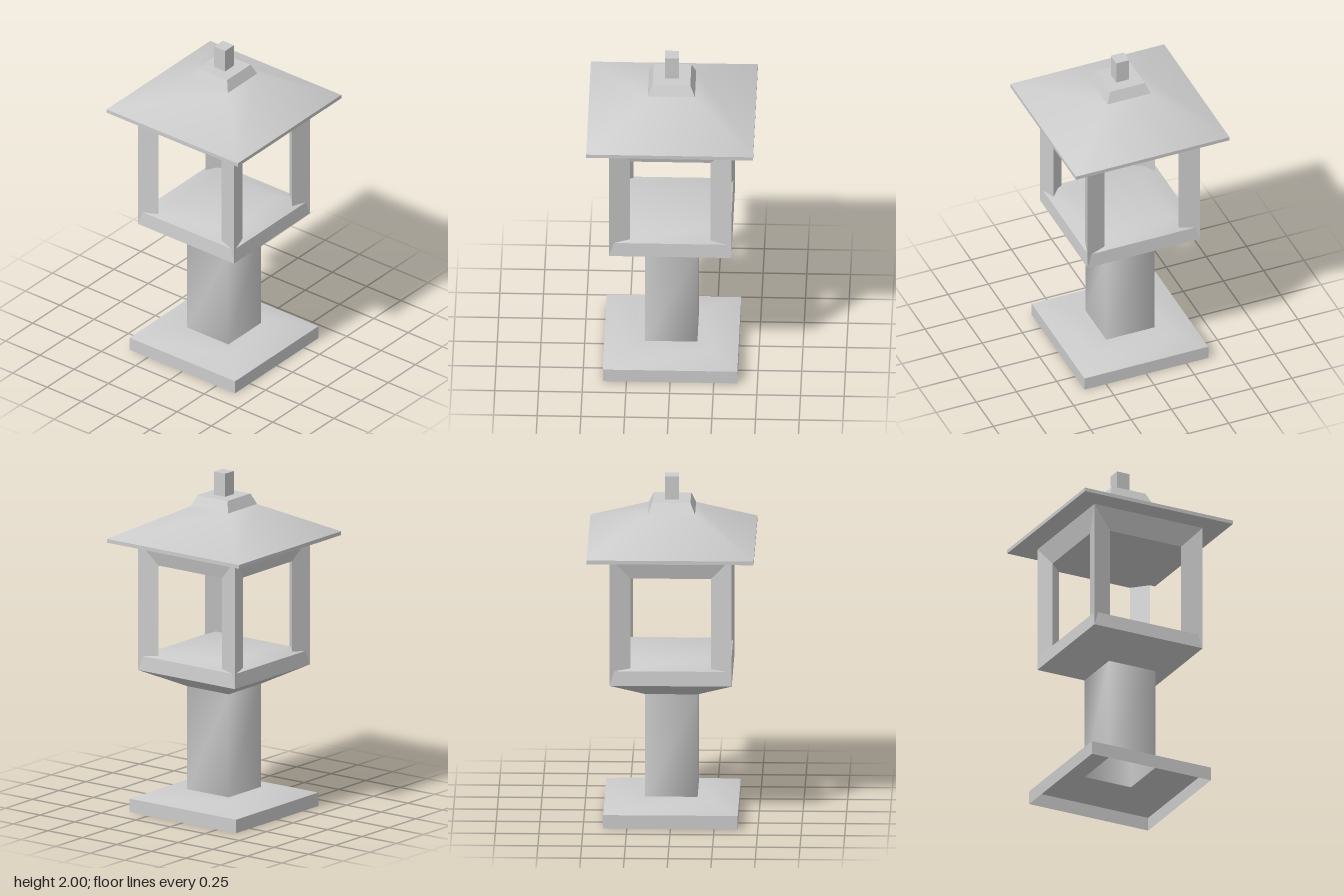
import * as THREE from 'three';
import { toCreasedNormals } from 'three/addons/utils/BufferGeometryUtils.js';

const material = new THREE.MeshStandardMaterial({ color: 0xcccccc, side: THREE.DoubleSide });

// Joins stacked cross-sections [{ y, points: [[x, z], ...] }], listed bottom to top
function loft(sections, { bottom = false, top = false, crease = 1 } = {}) {
  const n = sections[0].points.length;
  const positions = sections.flatMap(({ y, points }) => points.flatMap(([x, z]) => [x, y, z]));
  const index = [];
  for (let s = 0; s < sections.length - 1; s++) {
    for (let i = 0; i < n; i++) {
      const j = (i + 1) % n;
      const a = s * n + i, b = s * n + j, c = b + n, d = a + n;
      index.push(a, b, c, a, c, d);
    }
  }
  const last = (sections.length - 1) * n;
  for (let i = 1; i < n - 1; i++) {
    if (bottom) index.push(0, i + 1, i);
    if (top) index.push(last, last + i, last + i + 1);
  }
  const geometry = new THREE.BufferGeometry();
  geometry.setAttribute('position', new THREE.Float32BufferAttribute(positions, 3));
  geometry.setIndex(index);
  return toCreasedNormals(geometry, crease);
}

// Square cross-section with half width h at height y
const square = ([h, y]) => ({ y, points: [[h, h], [h, -h], [-h, -h], [-h, h]] });

export function createModel() {
  const group = new THREE.Group();
  const add = (name, geometry) => {
    const mesh = new THREE.Mesh(geometry, material);
    mesh.name = name;
    group.add(mesh);
    return mesh;
  };
  const addSquare = (name, profile, options) => add(name, loft(profile.map(square), options));

  // Hollow foot, open underneath, with the hollow column rising from it
  addSquare('base', [[0.385, 0], [0.385, 0.08], [0.24, 0.125], [0.15, 0.125]]);
  addSquare('column', [[0.15, 0.125], [0.15, 0.735]], { crease: 1.7 });

  // Flared tray with a sill and a slightly raised floor
  addSquare('lanternTray',
    [[0.15, 0.735], [0.35, 0.84], [0.342, 0.925], [0.23, 0.965]], { top: true });

  // Four corner posts, pointed outwards with a flat inner face
  const section = [[0.35, 0.35], [0.315, 0.23], [0.23, 0.315]];
  for (let i = 0; i < 4; i++) {
    const post = add('cornerPost',
      loft([{ y: 0.84, points: section }, { y: 1.6, points: section }], { crease: 1.2 }));
    post.rotation.y = i * Math.PI / 2;
  }

  // Bevelled header, with the ceiling as its lower face
  addSquare('header', [[0.315, 1.47], [0.35, 1.6]], { bottom: true });

  // Hipped roof, cap and finial
  addSquare('roof', [[0.478, 1.6], [0.478, 1.622], [0.135, 1.8]], { bottom: true, top: true });
  addSquare('roofCap', [[0.135, 1.8], [0.108, 1.863]], { top: true });
  addSquare('finial', [[0.04, 1.863], [0.04, 2]], { top: true });

  return group;
}
